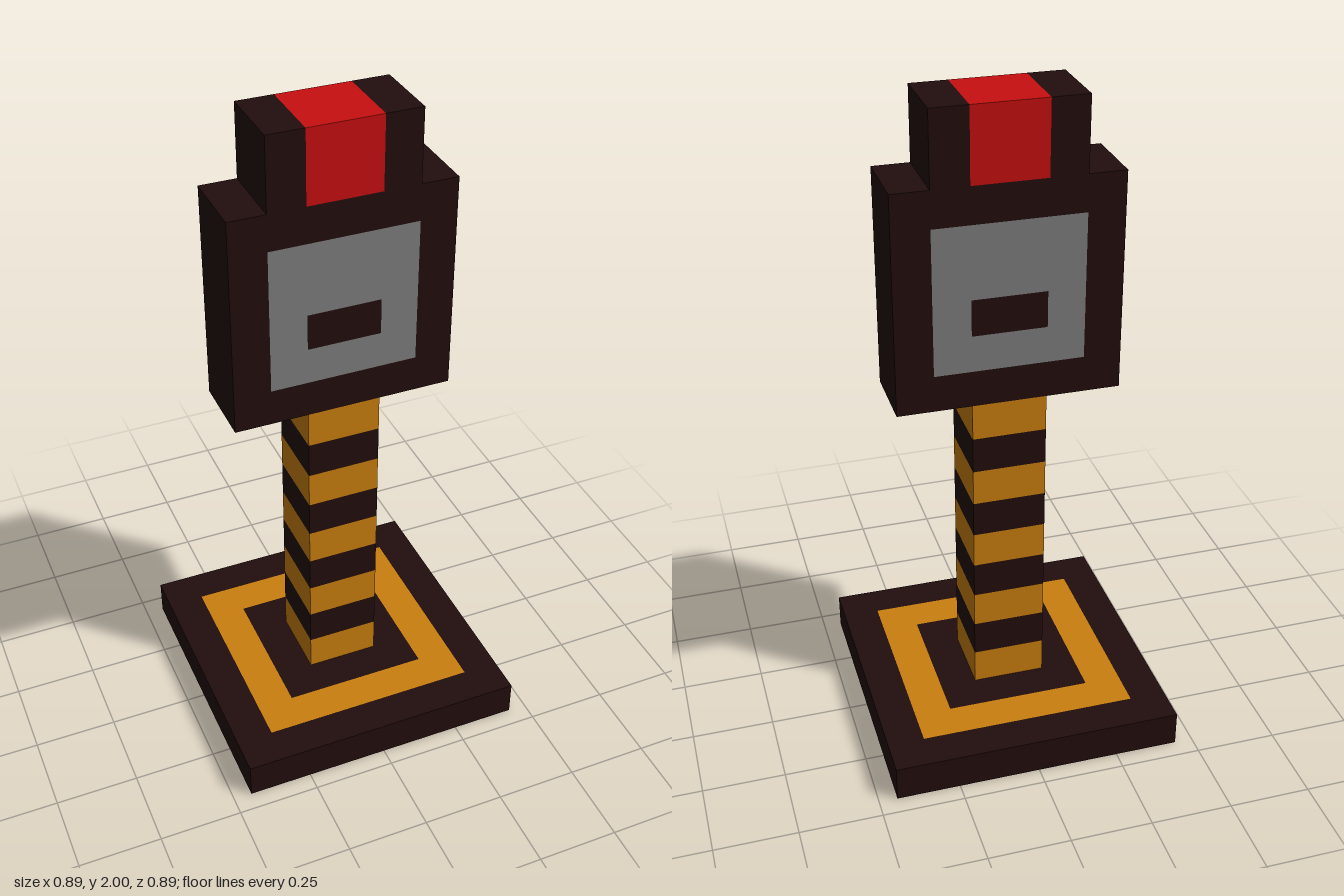
import * as THREE from 'three';

const U = 1 / 9; // one block

const material = (name, color) => {
  const m = new THREE.MeshStandardMaterial({ color });
  m.name = name;
  return m;
};

export function createModel() {
  const model = new THREE.Group();
  model.name = 'signalPost';
  const dark = material('darkBrown', 0x220d0d);
  const orange = material('orange', 0xcb7f0f);
  const grey = material('grey', 0x7f7f7f);
  const red = material('red', 0xc80f10);

  const add = (parent, name, geometry, mat) => {
    const mesh = new THREE.Mesh(geometry, mat);
    mesh.name = name;
    parent.add(mesh);
    return mesh;
  };

  // Box sized and placed in blocks; y is its underside
  const box = (parent, name, mat, w, h, d, x, y) =>
    add(parent, name, new THREE.BoxGeometry(w * U, h * U, d * U), mat)
      .position.set(x * U, (y + h / 2) * U, 0);

  const rectangle = (Type, w, h, y = 0) => {
    const p = new Type();
    p.moveTo(-w / 2 * U, (y - h / 2) * U);
    p.lineTo(w / 2 * U, (y - h / 2) * U);
    p.lineTo(w / 2 * U, (y + h / 2) * U);
    p.lineTo(-w / 2 * U, (y + h / 2) * U);
    p.closePath();
    return p;
  };

  // Rectangular frame in the xy plane, centred in depth
  const frame = (parent, name, mat, w, h, holeW, holeH, depth, holeY = 0) => {
    const shape = rectangle(THREE.Shape, w, h);
    shape.holes.push(rectangle(THREE.Path, holeW, holeH, holeY));
    const geometry = new THREE.ExtrudeGeometry(shape, { depth: depth * U, bevelEnabled: false });
    geometry.translate(0, 0, -depth * U / 2);
    return add(parent, name, geometry, mat);
  };

  // Base plate with an inlaid square ring
  const base = new THREE.Group();
  base.name = 'base';
  model.add(base);
  box(base, 'baseCentre', dark, 4, 1, 4, 0, 0);
  for (const [name, mat, outer, inner] of [['baseRing', orange, 6, 4], ['baseRim', dark, 8, 6]]) {
    const ring = frame(base, name, mat, outer, outer, inner, inner, 1);
    ring.rotation.x = -Math.PI / 2;
    ring.position.y = U / 2;
  }

  // Striped pole
  const pole = new THREE.Group();
  pole.name = 'pole';
  model.add(pole);
  for (let i = 0; i < 9; i++) box(pole, 'poleStripe', i % 2 ? dark : orange, 2, 1, 2, 0, 1 + i);

  // Head: casing, panel and slot run right through, flush on both faces
  const head = new THREE.Group();
  head.name = 'head';
  model.add(head);
  frame(head, 'casing', dark, 6, 6, 4, 4, 2).position.y = 13 * U;
  frame(head, 'panel', grey, 4, 4, 2, 1, 2, -0.5).position.y = 13 * U;
  box(head, 'slot', dark, 2, 1, 2, 0, 12);

  // Warning lamp between two side blocks
  box(head, 'lamp', red, 2, 2, 2, 0, 16);
  for (const side of [-1, 1]) box(head, 'lampSide', dark, 1, 2, 2, side * 1.5, 16);

  return model;
}
